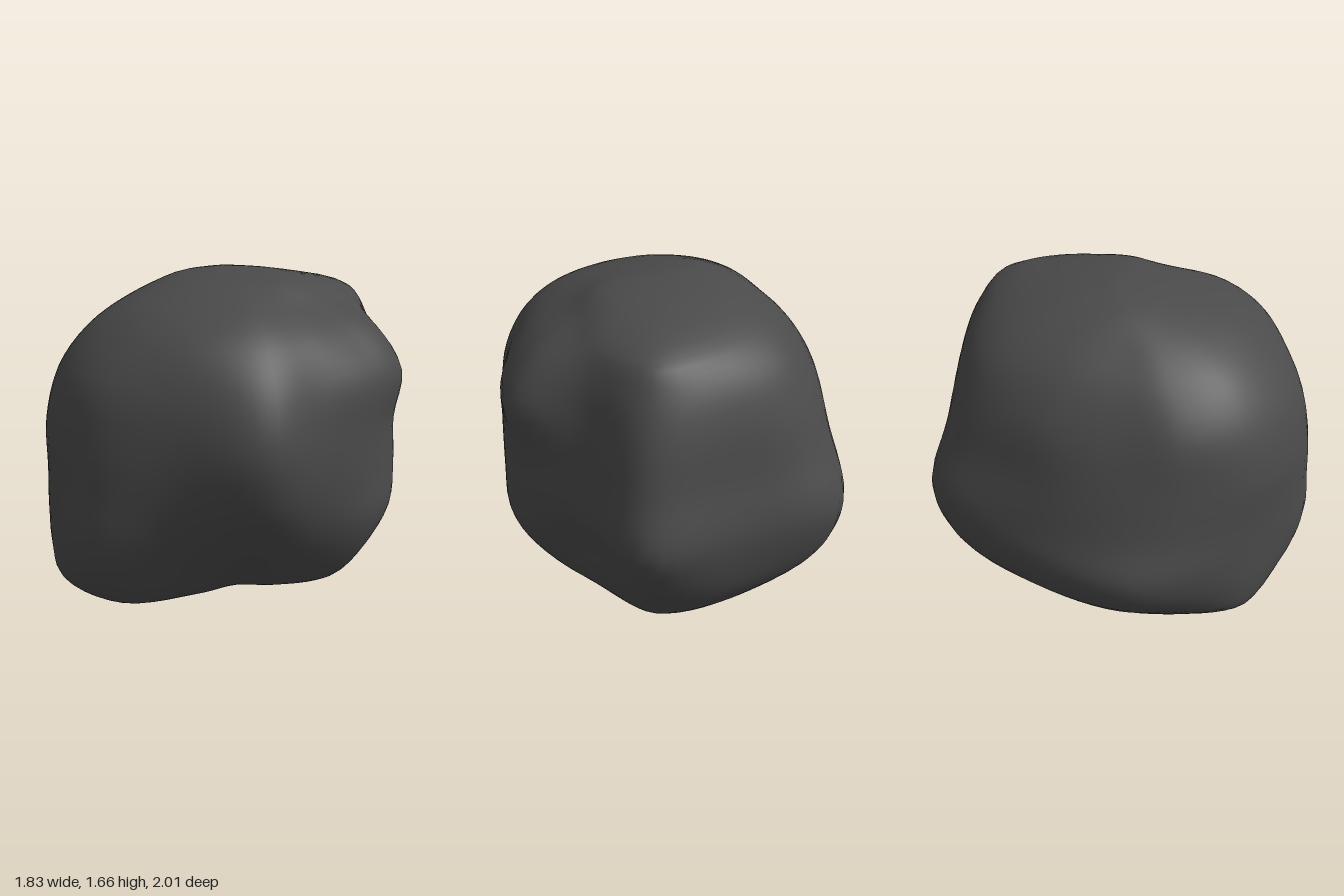
import * as THREE from 'three';

// Bearings (degrees, from +x towards +z) of the boulder's ridges and faces
const BEARINGS = [0, 22, 43, 68, 96, 125, 150, 171, 205, 238, 268, 296, 320, 342];

// Horizontal cross-sections, bottom to top: height, then a radius per bearing
const SECTIONS = [
  [0.06, [0.46, 0.38, 0.34, 0.44, 0.72, 0.80, 0.48, 0.32, 0.33, 0.43, 0.59, 0.67, 0.61, 0.53]],
  [0.13, [0.68, 0.56, 0.47, 0.57, 0.83, 0.90, 0.76, 0.65, 0.60, 0.69, 0.74, 0.79, 0.68, 0.67]],
  [0.30, [0.82, 0.71, 0.64, 0.70, 0.95, 0.93, 0.88, 0.86, 0.81, 0.90, 0.87, 0.91, 0.77, 0.81]],
  [0.50, [0.90, 0.82, 0.80, 0.82, 1.00, 0.93, 0.92, 0.93, 0.88, 1.01, 0.93, 1.03, 0.82, 0.91]],
  [0.70, [0.90, 0.87, 0.92, 0.89, 0.99, 0.93, 0.89, 0.86, 0.85, 1.04, 0.95, 1.10, 0.89, 0.92]],
  [0.95, [0.89, 0.88, 0.98, 0.91, 0.97, 0.93, 0.85, 0.79, 0.79, 0.94, 0.90, 1.03, 0.87, 0.91]],
  [1.20, [0.88, 0.84, 0.91, 0.87, 0.90, 0.86, 0.79, 0.70, 0.73, 0.84, 0.86, 0.96, 0.83, 0.94]],
  [1.40, [0.73, 0.72, 0.77, 0.76, 0.73, 0.71, 0.64, 0.58, 0.61, 0.73, 0.78, 0.87, 0.77, 0.80]],
  [1.53, [0.53, 0.53, 0.58, 0.56, 0.54, 0.51, 0.47, 0.43, 0.46, 0.57, 0.65, 0.77, 0.67, 0.57]],
  [1.63, [0.36, 0.29, 0.25, 0.23, 0.22, 0.23, 0.25, 0.26, 0.27, 0.32, 0.35, 0.40, 0.41, 0.39]],
];
const BASE = new THREE.Vector3(0.13, 0.01, -0.35);
const CROWN = new THREE.Vector3(-0.02, 1.675, -0.05);
const COLUMNS = 84;
const ROWS = 44;

// Smooth closed loop through one cross-section
function sectionLoop([y, radii]) {
  const points = radii.map((r, i) => {
    const a = THREE.MathUtils.degToRad(BEARINGS[i]);
    return new THREE.Vector3(r * Math.cos(a), y, r * Math.sin(a));
  });
  const curve = new THREE.CatmullRomCurve3(points, true);
  return Array.from({ length: COLUMNS }, (_, i) => curve.getPoint(i / COLUMNS));
}

// Skin of the boulder: smooth meridians from base to crown, joined in a grid
function boulderGeometry() {
  const loops = SECTIONS.map(sectionLoop);
  const positions = [...BASE.toArray()];
  const index = [];
  const at = (row, col) => 1 + (col % COLUMNS) * (ROWS - 1) + row - 1;
  const crown = 1 + COLUMNS * (ROWS - 1);

  for (let c = 0; c < COLUMNS; c++) {
    const meridian = new THREE.CatmullRomCurve3([BASE, ...loops.map((l) => l[c]), CROWN]);
    for (let r = 1; r < ROWS; r++) positions.push(...meridian.getPoint(r / ROWS).toArray());

    index.push(0, at(1, c), at(1, c + 1));
    for (let r = 1; r < ROWS - 1; r++) {
      index.push(at(r, c), at(r + 1, c), at(r, c + 1));
      index.push(at(r + 1, c), at(r + 1, c + 1), at(r, c + 1));
    }
    index.push(at(ROWS - 1, c), crown, at(ROWS - 1, c + 1));
  }
  positions.push(...CROWN.toArray());

  const geometry = new THREE.BufferGeometry();
  geometry.setAttribute('position', new THREE.Float32BufferAttribute(positions, 3));
  geometry.setIndex(index);
  geometry.computeVertexNormals();
  return geometry;
}

export function createModel() {
  const group = new THREE.Group();
  group.name = 'rock';
  const stone = new THREE.MeshStandardMaterial({ color: 0x4a4a4a });
  stone.name = 'dark grey stone';
  const boulder = new THREE.Mesh(boulderGeometry(), stone);
  boulder.name = 'boulder';
  group.add(boulder);
  return group;
}
